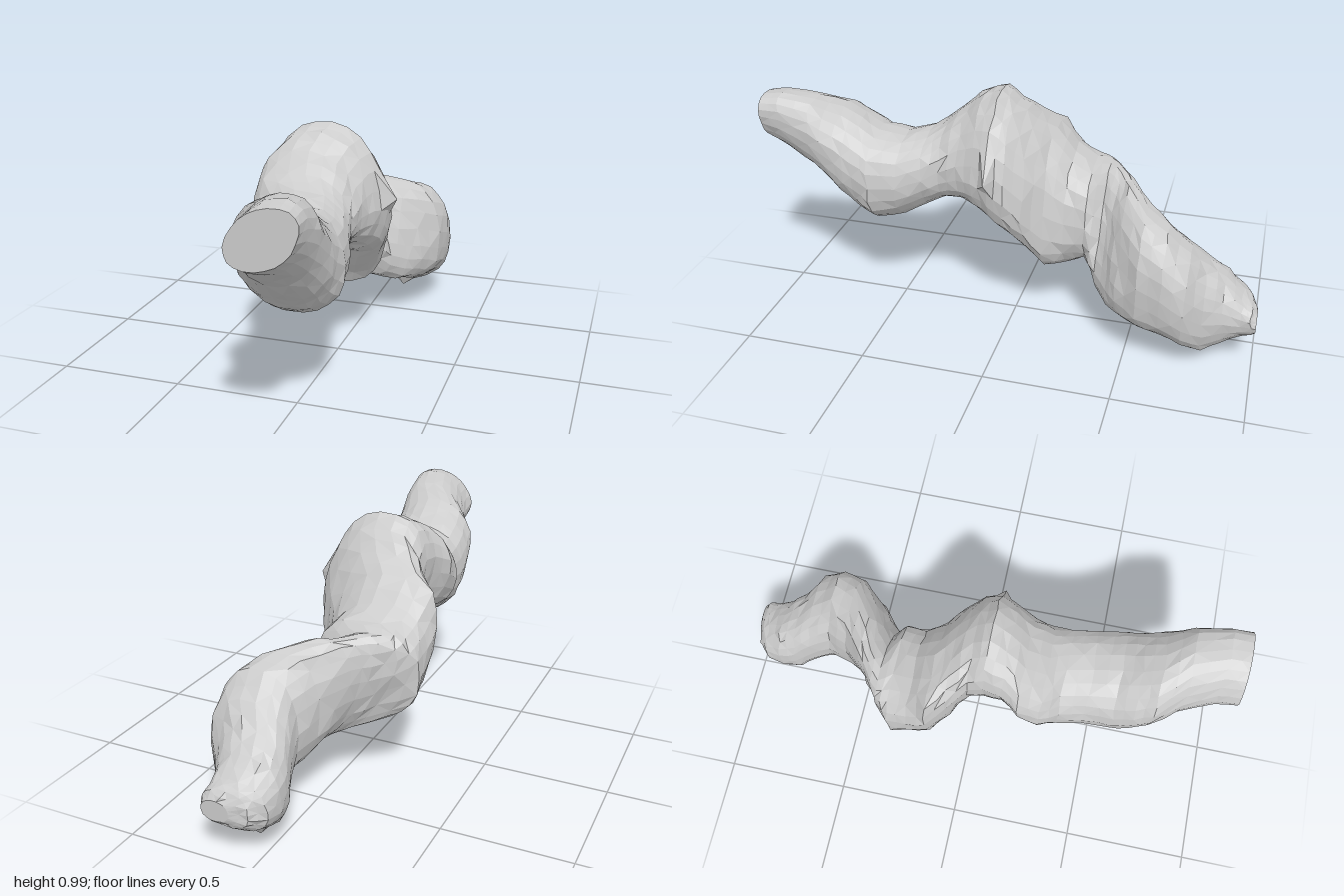
import * as THREE from 'three';

// Cross-sections from front to back:
// z, left x, right x, low y, high y, sideways lean of the top, roundness (lower is squarer)
const SECTIONS = [
  [1.00, -.05, .20, .715, .93, .045, .92], [.92, -.05, .20, .675, .94, .04, .92],
  [.80, -.09, .20, .59, .92, .03, .92], [.70, -.16, .20, .50, .87, 0, .92],
  [.63, -.17, .20, .44, .83, 0, .92], [.56, -.17, .21, .40, .79, 0, .92],
  [.45, -.175, .19, .43, .77, 0, .92], [.35, -.205, .16, .48, .79, 0, .9],
  [.28, -.25, .15, .515, .835, -.02, .9], [.20, -.25, .16, .53, .905, -.04, .9],
  [.13, -.21, .19, .52, .96, -.05, .9], [.06, -.20, .22, .48, .99, -.05, .9],
  [0, -.20, .22, .44, .94, -.05, .9], [-.07, -.27, .19, .36, .87, -.05, .85],
  [-.14, -.325, .14, .26, .81, -.06, .8], [-.22, -.32, .10, .26, .72, -.03, .8],
  [-.30, -.325, .10, .29, .68, -.01, .8], [-.36, -.255, .125, .215, .665, -.11, .9],
  [-.41, -.18, .185, .18, .655, -.11, .9], [-.46, -.12, .24, .17, .65, -.08, .9],
];
const TAIL = [
  [-.55, -.04, .305, .14, .61, -.02, .86], [-.64, 0, .325, .125, .57, 0, .86],
  [-.73, -.02, .32, .09, .49, 0, .86], [-.80, -.05, .26, .035, .42, 0, .9],
  [-.87, -.055, .215, .07, .36, 0, .9], [-.94, -.04, .20, .11, .30, .01, .9],
  [-.98, .01, .20, .135, .275, .01, .9], [-1.0, .08, .19, .16, .24, 0, .9],
];
// Small pointed bumps that stick out of the skin
const BUMPS = [[.08, 0, -.80], [.26, .70, .06], [-.08, .24, -.15], [-.31, .77, -.14]];
const SIDES = 22;

function seeded(seed) {
  return () => (seed = (seed * 16807) % 2147483647) / 2147483647 - 0.5;
}

// Insert a midpoint section between each neighbouring pair
function refine(rows) {
  const out = [];
  rows.forEach((r, i) => {
    out.push(r);
    if (i < rows.length - 1) out.push(r.map((v, k) => (v + rows[i + 1][k]) / 2));
  });
  return out;
}

function bodyGeometry() {
  const rows = refine([...SECTIONS, ...TAIL]);
  const rand = seeded(71);
  const pts = [];
  rows.forEach(([z, x0, x1, y0, y1, lean, power], i) => {
    const half = (x1 - x0) / 2, ry = (y1 - y0) / 2;
    const rx = Math.sqrt(half * half - lean * lean);
    const end = i === 0 || i === rows.length - 1;
    const soft = (v) => Math.sign(v) * Math.pow(Math.abs(v), power);
    for (let j = 0; j < SIDES; j++) {
      const a = (j / SIDES) * Math.PI * 2;
      const c = soft(Math.cos(a)), s = soft(Math.sin(a));
      const k = 1 + rand() * 0.04;
      pts.push(new THREE.Vector3(
        (x0 + x1) / 2 + (rx * c + lean * s) * k,
        (y0 + y1) / 2 + ry * s * k,
        end ? z : z + rand() * 0.012
      ));
    }
  });

  // Pull the nearest skin point out to each bump tip
  for (const b of BUMPS) {
    const tip = new THREE.Vector3(...b);
    pts.reduce((m, p) => (p.distanceTo(tip) < m.distanceTo(tip) ? p : m)).copy(tip);
  }

  // Skin between the rings
  const index = [];
  for (let i = 0; i < rows.length - 1; i++) {
    for (let j = 0; j < SIDES; j++) {
      const a = i * SIDES + j, b = i * SIDES + ((j + 1) % SIDES);
      const c = a + SIDES, d = b + SIDES;
      if ((i + j) % 2) index.push(a, c, b, b, c, d);
      else index.push(a, c, d, a, d, b);
    }
  }

  // Flat ends
  const last = (rows.length - 1) * SIDES;
  for (let j = 1; j < SIDES - 1; j++) {
    index.push(0, j, j + 1);
    index.push(last, last + j + 1, last + j);
  }

  const geo = new THREE.BufferGeometry().setFromPoints(pts);
  geo.setIndex(index);
  const flat = geo.toNonIndexed();
  flat.computeVertexNormals();
  return flat;
}

export function createModel() {
  const group = new THREE.Group();
  group.name = 'windingBranch';
  const material = new THREE.MeshStandardMaterial({ color: 0xcccccc, flatShading: true });
  const body = new THREE.Mesh(bodyGeometry(), material);
  body.name = 'branchBody';
  group.add(body);
  return group;
}
